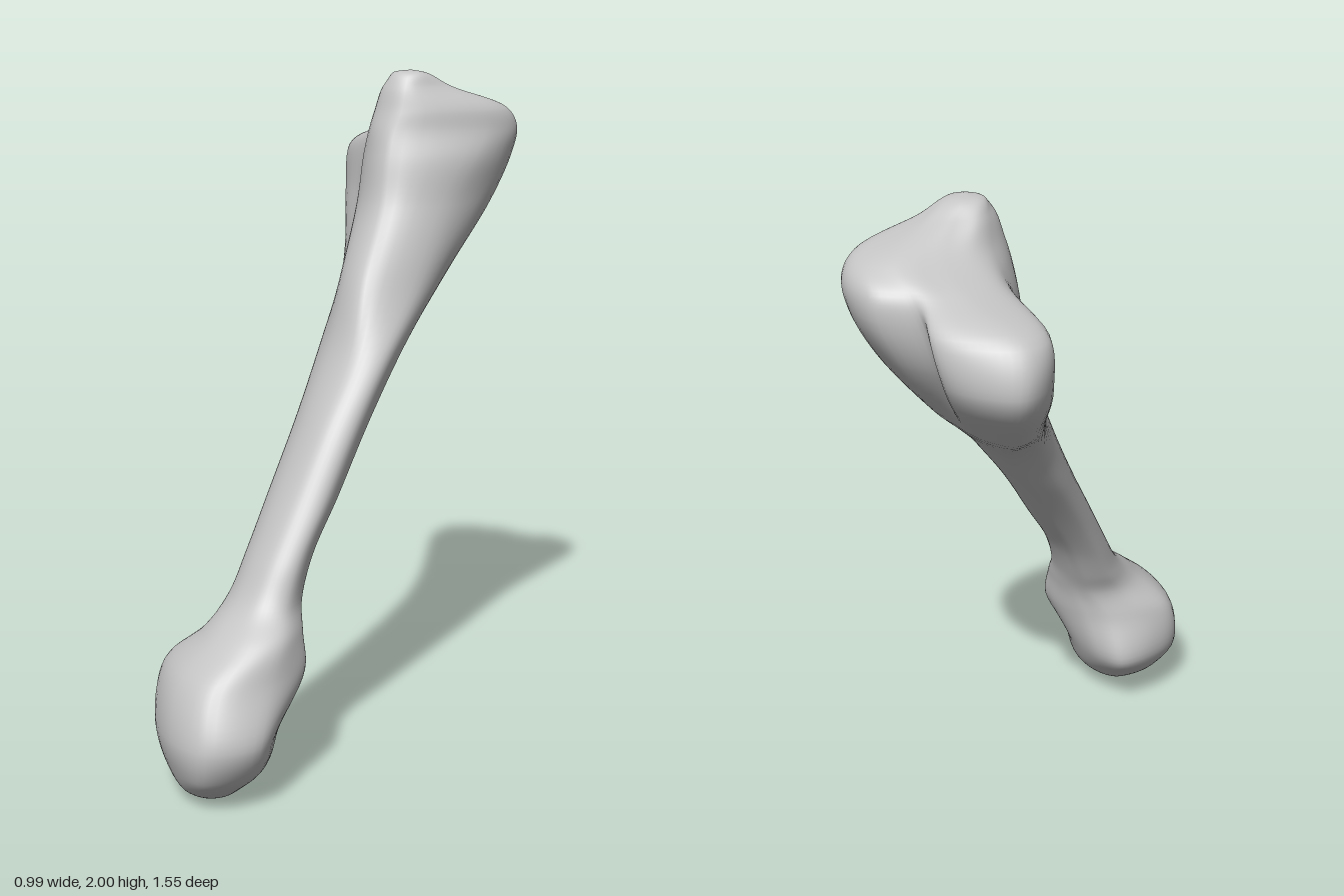
import * as THREE from 'three';
import { mergeVertices } from 'three/addons/utils/BufferGeometryUtils.js';

// Eleven control points per section: right, round the front (+z), left side, back.
const ANGLES = [0, 45, 90, 135, 180, 225, 270, 292, 310, 327, 343].map(THREE.MathUtils.degToRad);

// Elliptical section: height, x range, z range, lean of the long axis
function oval(y, x0, x1, z0, z1, skew = 0) {
  return ANGLES.map(a => new THREE.Vector3(
    (x0 + x1) / 2 + Math.cos(a) * (x1 - x0) / 2, y,
    (z0 + z1) / 2 + Math.sin(a + skew) * (z1 - z0) / 2));
}

// Sculpted section: height, eleven x, z pairs
function outline(y, ...p) {
  return ANGLES.map((_, i) => new THREE.Vector3(p[i * 2], y, p[i * 2 + 1]));
}

// Rounded lower head with its side bump and rear condyle
const lowerHead = [
  oval(0, -0.30, -0.30, 0.57, 0.57),
  oval(0.008, -0.36, -0.25, 0.50, 0.63),
  oval(0.04, -0.405, -0.205, 0.43, 0.69),
  outline(0.1, -0.15, 0.56, -0.175, 0.68, -0.30, 0.75, -0.405, 0.66, -0.46, 0.50,
    -0.41, 0.40, -0.31, 0.35, -0.25, 0.37, -0.21, 0.40, -0.18, 0.44, -0.16, 0.49),
  outline(0.2, -0.12, 0.57, -0.145, 0.71, -0.29, 0.775, -0.42, 0.67, -0.495, 0.43,
    -0.42, 0.32, -0.31, 0.255, -0.24, 0.29, -0.19, 0.34, -0.15, 0.40, -0.13, 0.47),
  outline(0.35, -0.055, 0.49, -0.13, 0.63, -0.28, 0.705, -0.405, 0.61, -0.47, 0.41,
    -0.41, 0.335, -0.28, 0.285, -0.20, 0.30, -0.15, 0.33, -0.10, 0.38, -0.07, 0.43),
];

// Slanted shaft, flaring towards the top
const shaft = [
  oval(0.45, -0.355, -0.065, 0.285, 0.61, 0.1),
  oval(0.53, -0.295, -0.075, 0.25, 0.515, 0.2),
  oval(0.65, -0.25, -0.05, 0.19, 0.45, 0.3),
  oval(0.8, -0.20, 0.012, 0.09, 0.37, 0.3),
  oval(1.0, -0.135, 0.09, -0.07, 0.265, 0.3),
  oval(1.2, -0.08, 0.18, -0.25, 0.14, 0.25),
  outline(1.4, 0.295, -0.24, 0.23, -0.07, 0.07, 0.025, -0.01, -0.06, -0.03, -0.25,
    -0.045, -0.46, 0.02, -0.56, 0.10, -0.535, 0.16, -0.48, 0.20, -0.42, 0.26, -0.35),
];

// Broad upper head: front ridge, right lobe, groove and rear lobe
const upperHead = [
  outline(1.6, 0.415, -0.37, 0.30, -0.18, 0.11, -0.105, 0.02, -0.21, 0.0, -0.42,
    -0.07, -0.65, 0.0, -0.77, 0.12, -0.75, 0.205, -0.685, 0.225, -0.58, 0.34, -0.52),
  outline(1.74, 0.475, -0.42, 0.37, -0.235, 0.12, -0.15, 0.035, -0.24, 0.02, -0.45,
    -0.06, -0.65, 0.0, -0.735, 0.14, -0.73, 0.24, -0.68, 0.26, -0.605, 0.40, -0.565),
  outline(1.82, 0.49, -0.42, 0.40, -0.28, 0.13, -0.175, 0.05, -0.24, 0.06, -0.40,
    0.07, -0.51, 0.14, -0.575, 0.20, -0.59, 0.25, -0.59, 0.30, -0.575, 0.41, -0.555),
  outline(1.88, 0.46, -0.39, 0.38, -0.28, 0.15, -0.19, 0.065, -0.25, 0.09, -0.36,
    0.13, -0.42, 0.20, -0.46, 0.25, -0.48, 0.30, -0.495, 0.35, -0.495, 0.42, -0.46),
  outline(1.95, 0.29, -0.30, 0.25, -0.25, 0.16, -0.21, 0.09, -0.25, 0.10, -0.31,
    0.13, -0.35, 0.18, -0.36, 0.21, -0.365, 0.24, -0.36, 0.265, -0.35, 0.28, -0.33),
  oval(1.99, 0.115, 0.22, -0.31, -0.235),
  oval(2, 0.17, 0.17, -0.27, -0.27),
];

// Smooth skin through the sections, splined along the bone and around it
function skin(sections, steps, around) {
  const columns = ANGLES.map((_, i) => new THREE.CatmullRomCurve3(sections.map(s => s[i])));
  const rows = (sections.length - 1) * steps;
  const positions = [], index = [];
  for (let r = 0; r <= rows; r++) {
    const ring = new THREE.CatmullRomCurve3(columns.map(c => c.getPoint(r / rows)), true);
    for (let j = 0; j < around; j++) {
      positions.push(...ring.getPoint(j / around).toArray());
      if (r === rows) continue;
      const a = r * around + j, b = r * around + (j + 1) % around;
      index.push(a, a + around, b, b, a + around, b + around);
    }
  }
  const geometry = new THREE.BufferGeometry();
  geometry.setAttribute('position', new THREE.Float32BufferAttribute(positions, 3));
  geometry.setIndex(index);
  const merged = mergeVertices(geometry, 1e-5);
  merged.computeVertexNormals();
  return merged;
}

export function createModel() {
  const group = new THREE.Group();
  group.name = 'longBone';
  const bone = new THREE.MeshStandardMaterial({ color: 0xc4c4c4 });
  bone.name = 'boneGrey';
  const mesh = new THREE.Mesh(skin([...lowerHead, ...shaft, ...upperHead], 7, 66), bone);
  mesh.name = 'bone';
  group.add(mesh);
  return group;
}
